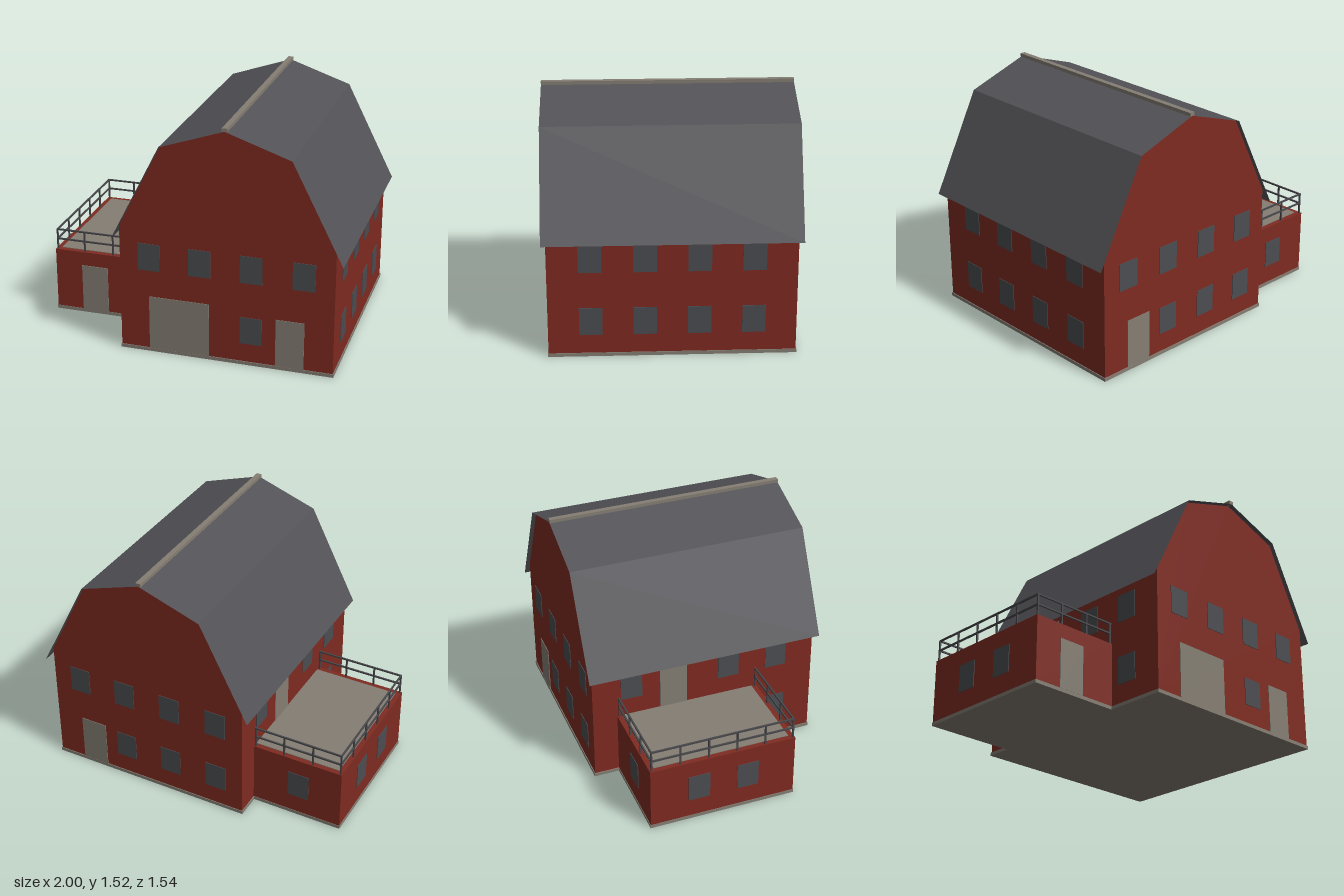
import * as THREE from 'three';

const mat = (name, color, side = THREE.FrontSide) => {
  const m = new THREE.MeshStandardMaterial({ color, side });
  m.name = name;
  return m;
};

export function createModel() {
  const red = mat('barn red', 0x7f2b21);
  const stone = mat('warm grey', 0x857e73);
  const slate = mat('roof slate', 0x535257, THREE.DoubleSide);
  const glass = mat('window grey', 0x4c4d51);
  const iron = mat('railing iron', 0x48474b);

  const model = new THREE.Group();
  model.name = 'barn';
  const group = (name) => {
    const g = new THREE.Group();
    g.name = name;
    model.add(g);
    return g;
  };
  // Box given by its minimum and maximum on each axis
  const box = (name, material, x0, x1, y0, y1, z0, z1, parent = model) => {
    const mesh = new THREE.Mesh(new THREE.BoxGeometry(x1 - x0, y1 - y0, z1 - z0), material);
    mesh.position.set((x0 + x1) / 2, (y0 + y1) / 2, (z0 + z1) / 2);
    mesh.name = name;
    parent.add(mesh);
  };

  // Foundations
  box('barnFoundation', stone, -0.405, 0.955, 0, 0.022, -0.75, 0.75);
  box('annexFoundation', stone, -1, -0.405, 0, 0.022, -0.588, 0.365);

  // Barn body with gambrel gables
  const cx = 0.275;
  const wall = [[-0.675, 0.022], [0.675, 0.022], [0.675, 0.83], [0.405, 1.362], [0, 1.5], [-0.405, 1.362], [-0.675, 0.83]];
  const shape = new THREE.Shape(wall.map(([x, y]) => new THREE.Vector2(x + cx, y)));
  const bodyGeo = new THREE.ExtrudeGeometry(shape, { depth: 1.49, bevelEnabled: false });
  bodyGeo.translate(0, 0, -0.745);
  const body = new THREE.Mesh(bodyGeo, red);
  body.name = 'barnBody';
  model.add(body);

  // Thin roof sheet, overhanging the walls on every side
  const line = [[-0.723, 0.74], [-0.405, 1.367], [0, 1.505], [0.405, 1.367], [0.723, 0.74]];
  const pos = [];
  for (let i = 0; i < line.length - 1; i++) {
    const [ax, ay] = line[i], [bx, by] = line[i + 1];
    const a = [ax + cx, ay, 0.772], b = [bx + cx, by, 0.772];
    const c = [bx + cx, by, -0.772], d = [ax + cx, ay, -0.772];
    pos.push(...a, ...b, ...c, ...a, ...c, ...d);
  }
  const roofGeo = new THREE.BufferGeometry();
  roofGeo.setAttribute('position', new THREE.Float32BufferAttribute(pos, 3));
  roofGeo.computeVertexNormals();
  const roof = new THREE.Mesh(roofGeo, slate);
  roof.name = 'roof';
  model.add(roof);
  box('ridgeCap', stone, cx - 0.017, cx + 0.017, 1.503, 1.525, -0.772, 0.772);

  // Annex with flat deck
  box('annexBody', red, -0.997, -0.4, 0.022, 0.428, -0.585, 0.362);
  box('annexDeck', stone, -0.965, -0.4, 0.424, 0.432, -0.552, 0.328);

  // Windows and doors: thin plates on a wall plane facing along x or z
  const openings = group('windowsAndDoors');
  const T = 0.004;
  const onZ = (name, m, z, x, w, y0, y1) => box(name, m, x - w / 2, x + w / 2, y0, y1, z - T, z + T, openings);
  const onX = (name, m, x, z, w, y0, y1) => box(name, m, x - T, x + T, y0, y1, z - w / 2, z + w / 2, openings);
  const W = 0.14, DW = 0.178, up = [0.55, 0.727], low = [0.143, 0.32], door = [0.022, 0.335];
  const cols = [-0.213, 0.11, 0.435, 0.76];
  for (const x of cols) {
    onZ('upperFrontWindow', glass, 0.745, x, W, ...up);
    onZ('upperBackWindow', glass, -0.745, x, W, ...up);
  }
  onZ('lowerFrontWindow', glass, 0.745, cols[2], W, ...low);
  for (const x of cols.slice(0, 3)) onZ('lowerBackWindow', glass, -0.745, x, W, ...low);
  onZ('barnDoor', stone, 0.745, -0.022, 0.385, 0.022, 0.375);
  onZ('frontDoor', stone, 0.745, 0.68, DW, ...door);
  onZ('backDoor', stone, -0.745, 0.68, DW, ...door);

  const bays = [-0.488, -0.163, 0.163, 0.488];
  for (const z of bays) {
    onX('upperRightWindow', glass, 0.95, z, W, ...up);
    onX('lowerRightWindow', glass, 0.95, z, W, ...low);
    if (z !== bays[1]) onX('upperLeftWindow', glass, -0.4, z, W, ...up);
  }
  onX('lowerLeftWindow', glass, -0.4, bays[3], W, ...low);
  onX('deckDoor', stone, -0.4, -0.21, DW, 0.432, 0.745);

  onZ('annexDoor', stone, 0.362, -0.727, DW, ...door);
  onZ('annexBackWindow', glass, -0.585, -0.71, W, ...low);
  for (const z of [-0.27, 0.05]) onX('annexSideWindow', glass, -0.997, z, W, ...low);

  // Deck railing on three sides
  const railing = group('railing');
  const r = 0.005, rx = -0.985, zf = 0.35, zb = -0.573;
  const post = (x, z) => box('post', iron, x - r, x + r, 0.428, 0.568, z - r, z + r, railing);
  for (const x of [rx, -0.798, -0.602, -0.408]) {
    post(x, zf);
    post(x, zb);
  }
  for (let i = 1; i < 5; i++) post(rx, zb + ((zf - zb) * i) / 5);
  for (const y of [0.5, 0.565]) {
    for (const z of [zf, zb]) box('rail', iron, rx - r, -0.4, y - r, y + r, z - r, z + r, railing);
    box('rail', iron, rx - r, rx + r, y - r, y + r, zb, zf, railing);
  }

  return model;
}
